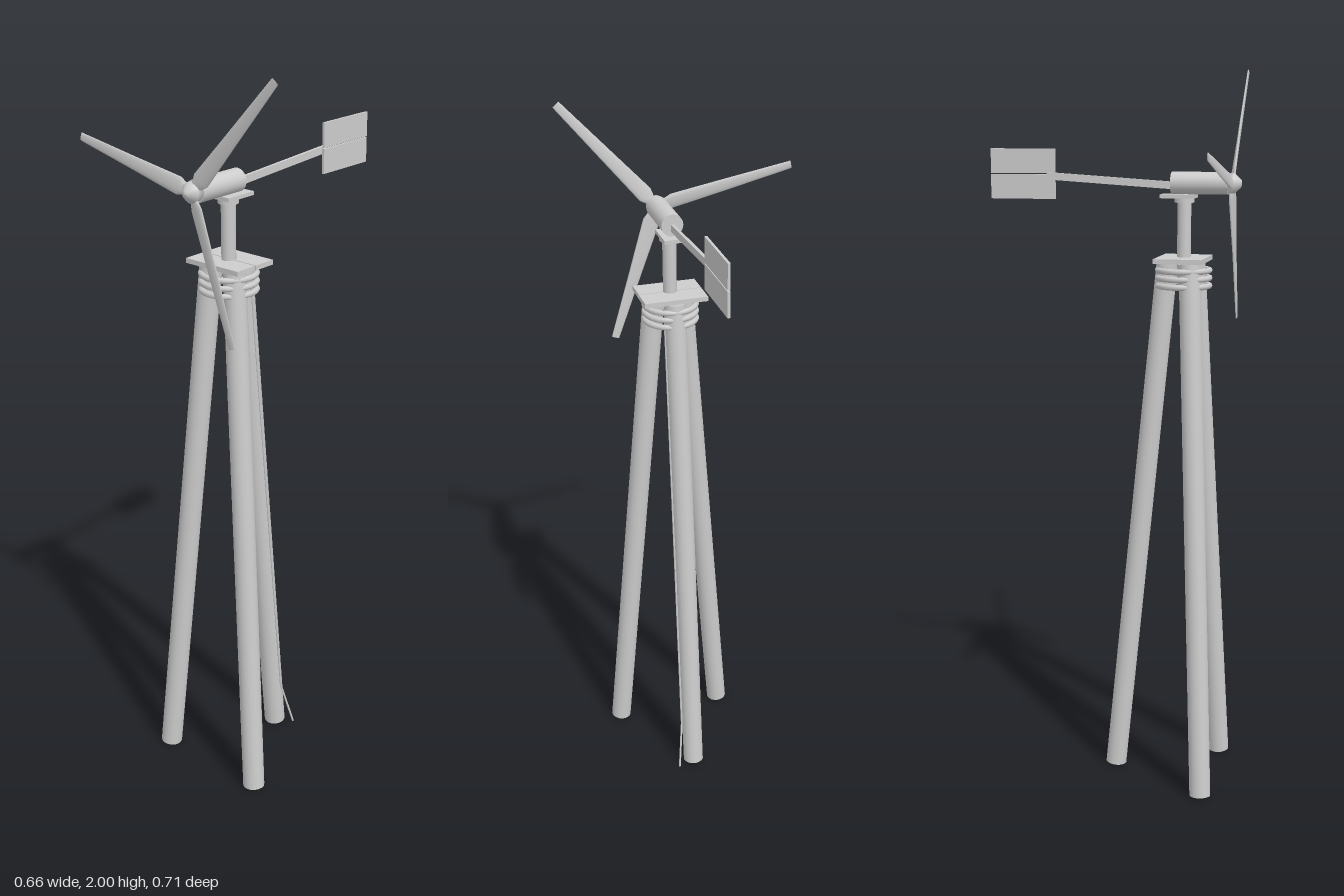
import * as THREE from 'three';

const AX = 0.058, AZ = 0.196, HUB_Y = 1.70; // tower axis and rotor height

export function createModel() {
  const group = new THREE.Group();
  const grey = new THREE.MeshStandardMaterial({ color: 0xcccccc });
  grey.name = 'lightGrey';

  const add = (name, geo, x = 0, y = 0, z = 0, parent = group) => {
    const m = new THREE.Mesh(geo, grey);
    m.name = name;
    m.position.set(x, y, z);
    parent.add(m);
    return m;
  };
  const box = (name, w, h, d, x, y, z) => add(name, new THREE.BoxGeometry(w, h, d), x, y, z);
  // Round bar between two points
  const bar = (name, a, b, r, seg = 16) => {
    const dir = b.clone().sub(a);
    const mid = a.clone().add(b).multiplyScalar(0.5);
    const m = add(name, new THREE.CylinderGeometry(r, r, dir.length(), seg), mid.x, mid.y, mid.z);
    m.quaternion.setFromUnitVectors(new THREE.Vector3(0, 1, 0), dir.normalize());
    return m;
  };
  const V = (x, y, z) => new THREE.Vector3(x, y, z);

  // Three leaning poles, one at the back and two at the front
  ['backLeg', 'leftLeg', 'rightLeg'].forEach((name, i) => {
    const a = -Math.PI / 2 + i * Math.PI * 2 / 3;
    const at = (r, y) => V(AX + Math.cos(a) * r, y, AZ + Math.sin(a) * r);
    bar(name, at(0.187, 0.003), at(0.046, 1.485), 0.03);
  });

  // Lashing rings around the pole tops
  for (let i = 0; i < 3; i++) {
    const ring = add('lashingRing', new THREE.TorusGeometry(0.071, 0.008, 8, 32), AX, 1.424 + i * 0.021, AZ);
    ring.rotation.x = Math.PI / 2;
  }

  // Two boards of the platform
  for (const s of [-1, 1]) box('platformBoard', 0.176, 0.013, 0.065, AX, 1.495, AZ - 0.002 + s * 0.034);

  // Mast and bearing plates
  bar('mast', V(AX, 1.47, AZ), V(AX, 1.67, AZ), 0.019);
  bar('bearing', V(AX, 1.648, AZ), V(AX, 1.66, AZ), 0.027);
  box('bearingPlate', 0.06, 0.01, 0.094, AX, 1.665, 0.18);

  // Generator body and nose cone
  bar('generator', V(AX, HUB_Y, 0.161), V(AX, HUB_Y, 0.315), 0.03, 24);
  const nose = add('noseCone', new THREE.LatheGeometry(
    [[0, 0], [0.027, 0], [0.027, 0.018], [0.01, 0.036], [0, 0.038]].map(([r, h]) => new THREE.Vector2(r, h)), 20),
    AX, HUB_Y, 0.314);
  nose.rotation.x = Math.PI / 2;

  // Rotor with three tapered, slightly twisted blades
  const rotor = new THREE.Group();
  rotor.name = 'rotor';
  rotor.position.set(AX, HUB_Y, 0.325);
  group.add(rotor);
  for (let i = 0; i < 3; i++) {
    const blade = add('blade', bladeGeometry(), 0, 0, 0, rotor);
    blade.rotation.z = THREE.MathUtils.degToRad(48.6 + i * 120);
  }

  // Tail boom with two vane boards
  const a = V(AX, 1.693, 0.165), b = V(AX, 1.716, -0.19);
  const boom = box('tailBoom', 0.009, 0.02, a.distanceTo(b), AX, (a.y + b.y) / 2, (a.z + b.z) / 2);
  boom.rotation.x = Math.atan2(b.y - a.y, a.z - b.z);
  for (const s of [-1, 1]) box('tailVane', 0.007, 0.067, 0.185, 0.067, 1.721 + s * 0.035, -0.261);

  // Cable running down the back leg and kinking out at the foot
  bar('cable', V(0.088, 1.43, 0.145), V(0.091, 0.14, 0.02), 0.003, 6);
  bar('cableEnd', V(0.091, 0.14, 0.02), V(0.109, 0.002, -0.016), 0.003, 6);

  return group;
}

// Blade along +x, lofted from flattened oval sections
function bladeGeometry() {
  // distance, width, thickness, twist
  const sections = [[0.012, 0.022, 0.014, 0.3], [0.045, 0.046, 0.011, 0.22], [0.2, 0.035, 0.008, 0.1], [0.396, 0.022, 0.005, 0.03]];
  const n = 12, pos = [], idx = [];
  for (const [x, w, t, tw] of sections) {
    for (let j = 0; j < n; j++) {
      const q = j / n * Math.PI * 2;
      const y = Math.cos(q) * w / 2, z = Math.sin(q) * t / 2;
      pos.push(x, y * Math.cos(tw) - z * Math.sin(tw), y * Math.sin(tw) + z * Math.cos(tw));
    }
  }
  for (let i = 0; i < sections.length - 1; i++) {
    for (let j = 0; j < n; j++) {
      const p = i * n + j, q = i * n + (j + 1) % n;
      idx.push(p, p + n, q, q, p + n, q + n);
    }
  }
  // End caps
  const last = (sections.length - 1) * n;
  for (let j = 1; j < n - 1; j++) {
    idx.push(0, j + 1, j);
    idx.push(last, last + j, last + j + 1);
  }
  // Reverse the side faces so they point outwards
  const sides = (sections.length - 1) * n * 6;
  for (let k = 0; k < sides; k += 3) [idx[k + 1], idx[k + 2]] = [idx[k + 2], idx[k + 1]];
  const g = new THREE.BufferGeometry();
  g.setAttribute('position', new THREE.Float32BufferAttribute(pos, 3));
  g.setIndex(idx);
  g.computeVertexNormals();
  return g;
}
